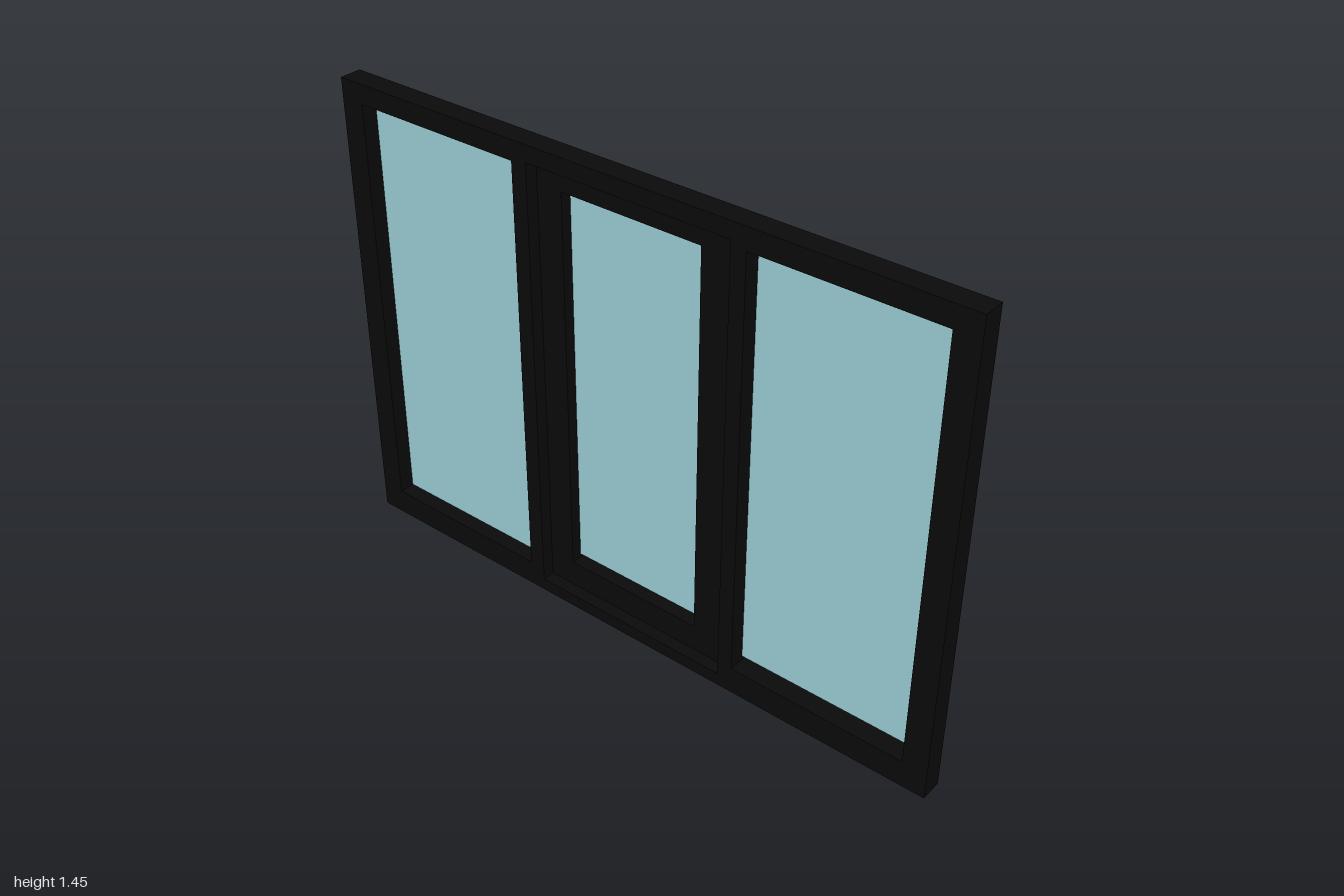
import * as THREE from 'three';

const frameMat = new THREE.MeshStandardMaterial({ color: 0x0a0a0a });
const glassMat = new THREE.MeshStandardMaterial({ color: 0x9ccfd8 });

// Traces a rectangle given as [x0, x1, y0, y1]
function trace(path, [x0, x1, y0, y1]) {
  path.moveTo(x0, y0);
  path.lineTo(x1, y0);
  path.lineTo(x1, y1);
  path.lineTo(x0, y1);
  path.closePath();
  return path;
}

// Flat panel with rectangular openings, running from z0 to z1
function panel(name, outer, holes, z0, z1) {
  const shape = trace(new THREE.Shape(), outer);
  shape.holes = holes.map((h) => trace(new THREE.Path(), h));
  const geo = new THREE.ExtrudeGeometry(shape, { depth: z1 - z0, bevelEnabled: false });
  geo.translate(0, 0, z0);
  const mesh = new THREE.Mesh(geo, frameMat);
  mesh.name = name;
  return mesh;
}

function box(name, [x0, x1, y0, y1], z0, z1, mat) {
  const mesh = new THREE.Mesh(new THREE.BoxGeometry(x1 - x0, y1 - y0, z1 - z0), mat);
  mesh.position.set((x0 + x1) / 2, (y0 + y1) / 2, (z0 + z1) / 2);
  mesh.name = name;
  return mesh;
}

export function createModel() {
  const model = new THREE.Group();
  model.name = 'window';

  // Fixed outer frame with three openings
  model.add(panel('outerFrame', [-1, 1, 0, 1.45], [
    [-0.925, -0.37, 0.08, 1.39],
    [-0.32, 0.328, 0.04, 1.4],
    [0.375, 0.925, 0.085, 1.385],
  ], 0.037, 0.105));

  // Opening sash: body inside the frame, wider flange behind it
  const sash = new THREE.Group();
  sash.name = 'sash';
  const opening = [-0.235, 0.215, 0.125, 1.33];
  sash.add(panel('sashBody', [-0.318, 0.32, 0.042, 1.398], [opening], 0.03, 0.068));
  sash.add(panel('sashFlange', [-0.325, 0.32, 0.03, 1.42], [opening], 0.004, 0.036));
  model.add(sash);

  // Glass panes, leaving a hairline gap at one edge
  model.add(box('leftHandPane', [-0.925, -0.37, 0.08, 1.38], 0.048, 0.056, glassMat));
  model.add(box('centrePane', [-0.235, 0.215, 0.135, 1.33], 0.026, 0.034, glassMat));
  model.add(box('rightHandPane', [0.375, 0.925, 0.098, 1.385], 0.048, 0.056, glassMat));

  // Hinges on the back, beside the sash
  for (const y of [0.2, 1.25]) {
    const hinge = new THREE.Mesh(new THREE.CylinderGeometry(0.01, 0.01, 0.09, 12), frameMat);
    hinge.position.set(-0.332, y, 0.034);
    hinge.name = 'hinge';
    model.add(hinge);
  }

  // Lever handle: tapered rose and neck, then a horizontal grip
  const handle = new THREE.Group();
  handle.name = 'handle';
  handle.position.set(0.263, 0.817, 0.004);
  const profile = [[0, 0], [0.037, 0], [0.037, 0.028], [0.019, 0.06], [0.018, 0.09], [0, 0.09]];
  const neck = new THREE.Mesh(
    new THREE.LatheGeometry(profile.map(([r, h]) => new THREE.Vector2(r, h)), 24).toNonIndexed(), frameMat);
  neck.geometry.computeVertexNormals();
  neck.rotation.x = -Math.PI / 2;
  neck.name = 'handleNeck';
  const grip = new THREE.Mesh(new THREE.CapsuleGeometry(0.018, 0.135, 6, 16), frameMat);
  grip.rotation.z = Math.PI / 2;
  grip.position.set(-0.075, 0, -0.091);
  grip.name = 'handleGrip';
  handle.add(neck, grip);
  model.add(handle);

  return model;
}
